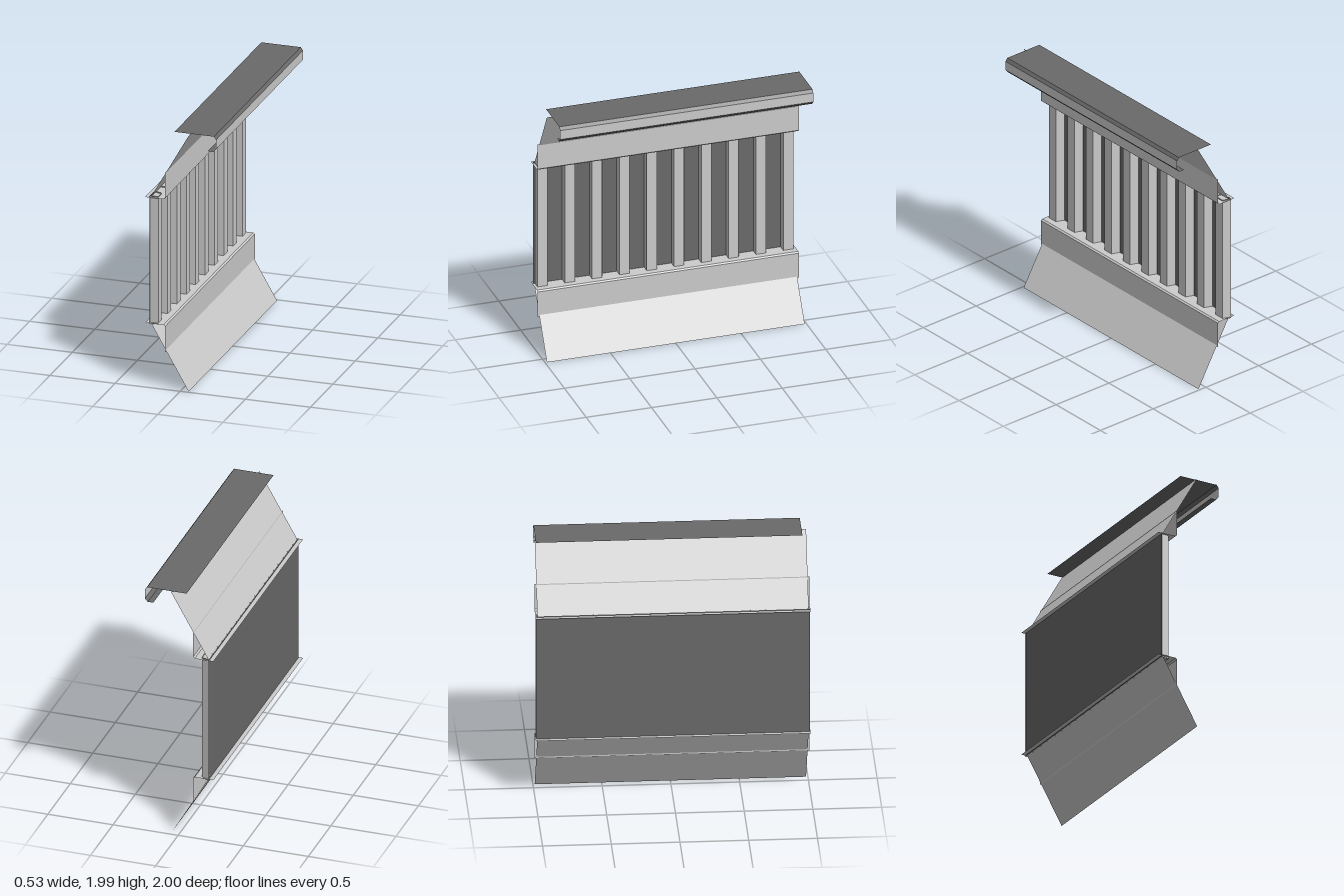
import * as THREE from 'three';

const metal = new THREE.MeshStandardMaterial({ color: 0xcccccc, side: THREE.DoubleSide, flatShading: true });
const dark = new THREE.MeshStandardMaterial({ color: 0x6a6a6a, side: THREE.DoubleSide, flatShading: true });

// Thin folded sheet: a polyline swept straight between two limits.
// place(a, b, t) turns a profile point and a sweep position into x, y, z.
function fold(name, profile, from, to, place, material) {
  const v = [];
  for (let i = 0; i < profile.length - 1; i++) {
    const [p, q] = [profile[i], profile[i + 1]];
    const a = place(...p, from), b = place(...q, from);
    const c = place(...q, to), d = place(...p, to);
    v.push(...a, ...b, ...c, ...a, ...c, ...d);
  }
  const geometry = new THREE.BufferGeometry();
  geometry.setAttribute('position', new THREE.Float32BufferAttribute(v, 3));
  geometry.computeVertexNormals();
  const mesh = new THREE.Mesh(geometry, material);
  mesh.name = name;
  return mesh;
}

const alongZ = (x, y, z) => [x, y, z];
const alongY = (x, z, y) => [x, y, z];

export function createModel() {
  const group = new THREE.Group();
  group.name = 'louvrePanel';
  const lengthwise = (name, profile, z0, z1, material = metal) =>
    group.add(fold(name, profile, z0, z1, alongZ, material));

  // Angle rails above and below the corrugated panel
  lengthwise('lowerRail', [[-0.27, 0.5], [-0.127, 0.5], [-0.115, 0.49], [-0.115, 0.292]], -1, 1);
  lengthwise('upperRail', [[-0.27, 1.475], [-0.127, 1.475], [-0.115, 1.486], [-0.115, 1.685]], -1, 1);

  // Sloping sheets crossing the rails
  lengthwise('lowerApron', [[0.06, 0], [-0.23, 0.5]], -0.987, 0.987);
  lengthwise('upperSlope', [[-0.23, 1.475], [0.06, 1.985]], -0.987, 0.987);

  // Cap with a turned-down lip and a small return
  lengthwise('capSheet', [[-0.06, 1.99], [0.243, 1.99], [0.26, 1.967]], -0.985, 0.953, dark);
  lengthwise('capLip', [[0.26, 1.967], [0.26, 1.895]], -0.985, 0.953);
  lengthwise('capReturn', [[0.26, 1.895], [0.238, 1.87], [0.195, 1.872]], -0.985, 0.953, dark);

  // Corrugated panel: dark backing sheet with ten upright ribs
  const panel = new THREE.Group();
  panel.name = 'corrugatedPanel';
  const bottom = 0.49, top = 1.483, back = -0.237, crown = -0.175;
  panel.add(fold('backing', [[back, 0.995], [back, -0.992]], bottom, top, alongY, dark));
  for (let i = 0; i < 10; i++) {
    const z = 0.98 - i * 0.209;
    const profile = [[back, z], [crown, z], [crown, z - 0.077], [back, z - 0.099]];
    panel.add(fold('rib', profile, bottom, top, alongY, metal));
  }
  group.add(panel);
  return group;
}
